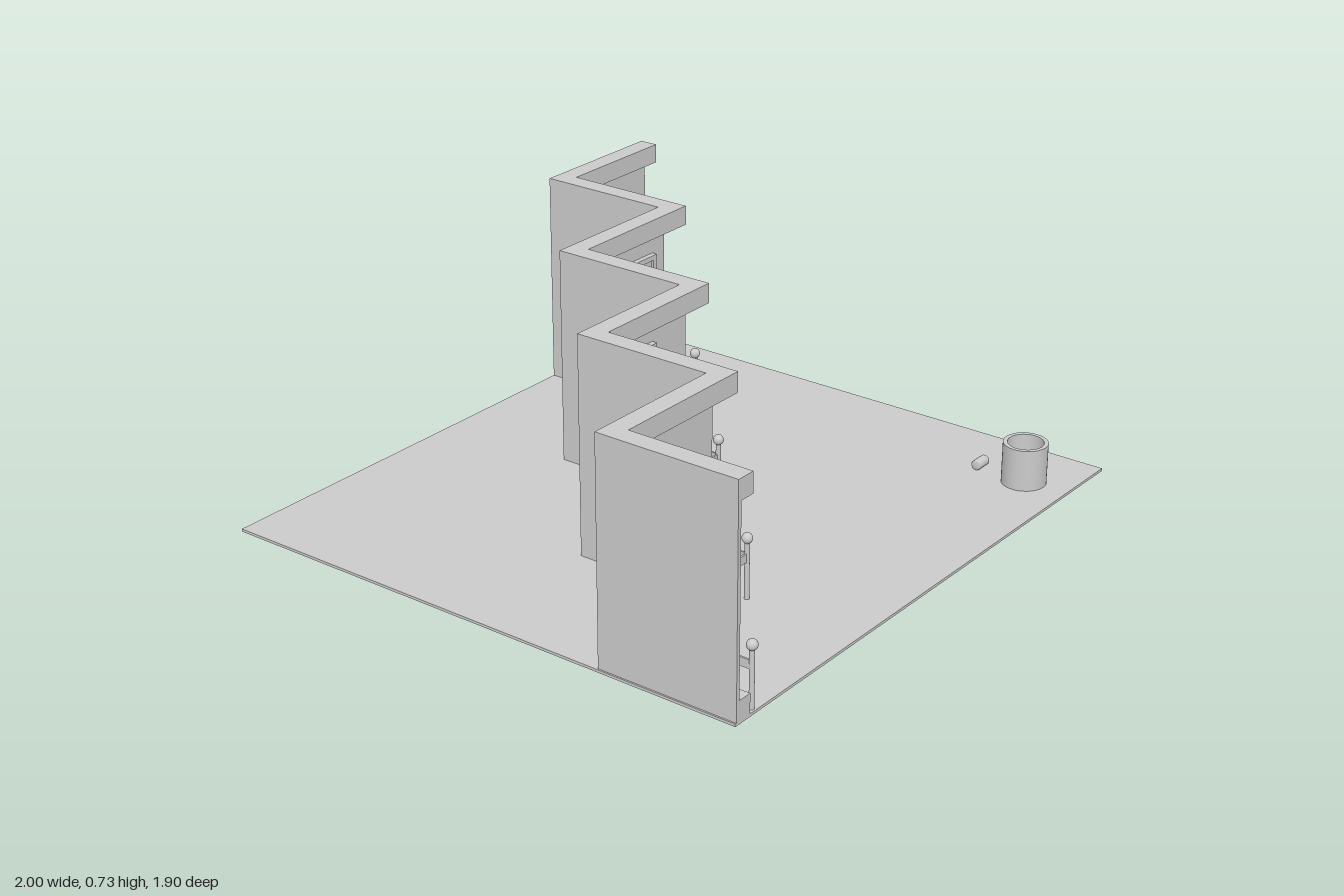
import * as THREE from 'three';

const material = new THREE.MeshStandardMaterial({ color: 0xcccccc });

// Corner coordinates of the zigzag wall's back face
const U = [-0.985, -0.494, -0.01, 0.49];
const V = [0.463, -0.003, -0.475, -0.938];
const FLOOR = 0.009;
const WALL = 0.013; // wall thickness

function add(parent, name, geometry, x = 0, y = 0, z = 0) {
  const mesh = new THREE.Mesh(geometry, material);
  mesh.name = name;
  mesh.position.set(x, y, z);
  parent.add(mesh);
  return mesh;
}

// Zigzag line shifted toward the room by d, as [x, z] corners
function zigzag(d, endZ = 0.938, endX = 0.988) {
  const points = [[U[0] + d, endZ]];
  for (let i = 0; i < 4; i++) {
    points.push([U[i] + d, V[i] + d]);
    points.push([i < 3 ? U[i + 1] + d : endX, V[i] + d]);
  }
  return points;
}

// Upright strip between two shifted zigzag lines
function zigzagStrip(inner, outer, y0, y1, endZ, endX) {
  const outline = [...zigzag(inner, endZ, endX), ...zigzag(outer, endZ, endX).reverse()];
  const shape = new THREE.Shape(outline.map(([x, z]) => new THREE.Vector2(x, -z)));
  return new THREE.ExtrudeGeometry(shape, { depth: y1 - y0, bevelEnabled: false })
    .rotateX(-Math.PI / 2)
    .translate(0, y0, 0);
}

// Picture: raised border around a recessed panel, facing +z
function picture(w, h, border) {
  const group = new THREE.Group();
  group.name = 'picture';
  const rect = (path, a, b) => path.moveTo(-a, -b).lineTo(a, -b).lineTo(a, b).lineTo(-a, b).closePath();
  const shape = rect(new THREE.Shape(), w / 2, h / 2);
  shape.holes.push(rect(new THREE.Path(), w / 2 - border, h / 2 - border));
  add(group, 'pictureFrame', new THREE.ExtrudeGeometry(shape, { depth: 0.018, bevelEnabled: false }));
  add(group, 'pictureCanvas', new THREE.BoxGeometry(w - 2 * border, h - 2 * border, 0.008), 0, 0, 0.004);
  return group;
}

export function createModel() {
  const model = new THREE.Group();
  model.name = 'galleryRoom';
  // The whole room is turned very slightly
  const room = new THREE.Group();
  room.name = 'room';
  room.rotation.y = -0.0107;
  model.add(room);

  add(room, 'floor', new THREE.BoxGeometry(1.98, FLOOR, 1.876), 0, FLOOR / 2, 0);

  // Zigzag wall with cornice and baseboard
  add(room, 'wall', zigzagStrip(0, WALL, FLOOR, 0.725, 0.938, 0.988));
  add(room, 'cornice', zigzagStrip(0, 0.064, 0.665, 0.73));
  add(room, 'baseboard', zigzagStrip(WALL, 0.062, FLOOR, 0.073));

  // Barrier rail with a ball-topped post at every corner
  const OFFSET = 0.086, END_Z = 0.925, END_X = 0.972;
  add(room, 'barrierRail', zigzagStrip(OFFSET - 0.003, OFFSET + 0.003, 0.13, 0.158, END_Z, END_X));
  for (const [x, z] of zigzag(OFFSET, END_Z, END_X)) {
    add(room, 'barrierPost', new THREE.CylinderGeometry(0.008, 0.008, 0.19, 16), x, FLOOR + 0.095, z);
    add(room, 'postBall', new THREE.SphereGeometry(0.017, 20, 14), x, 0.206, z);
  }

  // Two small pictures on each front-facing wall: [x, y]
  const small = [
    [[-0.829, 0.5], [-0.624, 0.257]],
    [[-0.252, 0.5], [-0.26, 0.257]],
    [[0.35, 0.491], [0.147, 0.262]],
    [[0.742, 0.5], [0.737, 0.257]],
  ];
  small.forEach((pair, i) => pair.forEach(([x, y]) => {
    const p = picture(0.184, 0.195, 0.017);
    p.position.set(x, y, V[i] + WALL);
    room.add(p);
  }));

  // One large picture on each side-facing wall
  [0.722, 0.251, -0.221, -0.693].forEach((z, i) => {
    const p = picture(0.255, 0.274, 0.022);
    p.position.set(U[i] + WALL, 0.403, z);
    p.rotation.y = Math.PI / 2;
    room.add(p);
  });

  // Open bin with a thick rim
  const binProfile = [[0, 0], [0.072, 0], [0.072, 0], [0.072, 0.138], [0.072, 0.138],
    [0.058, 0.138], [0.058, 0.138], [0.058, 0.012], [0.058, 0.012], [0, 0.012]];
  add(room, 'bin', new THREE.LatheGeometry(binProfile.map(([r, y]) => new THREE.Vector2(r, y)), 40),
    0.754, FLOOR, 0.787);

  // Drinks can lying beside the bin
  const canProfile = [[0, -0.03], [0.014, -0.03], [0.017, -0.026], [0.017, 0.026], [0.014, 0.03], [0, 0.03]];
  const can = add(room, 'can', new THREE.LatheGeometry(canProfile.map(([r, y]) => new THREE.Vector2(r, y)), 24),
    0.757, FLOOR + 0.018, 0.624);
  can.rotation.z = Math.PI / 2;

  return model;
}
